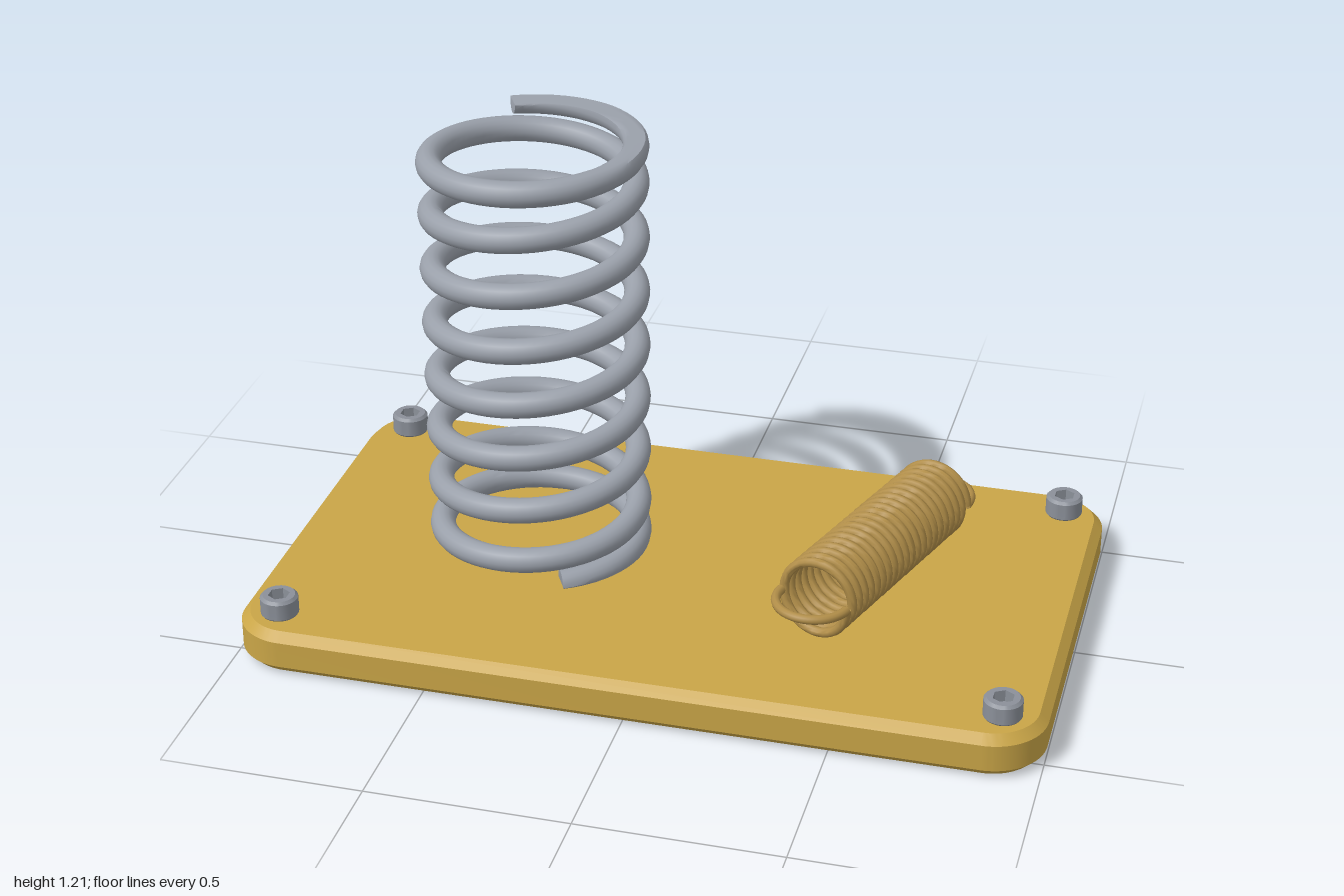
import * as THREE from 'three';
import { toCreasedNormals } from 'three/addons/utils/BufferGeometryUtils.js';

const mat = (name, color, side = THREE.FrontSide) => {
  const m = new THREE.MeshStandardMaterial({ color, side });
  m.name = name;
  return m;
};

function mesh(name, geometry, material, parent) {
  const m = new THREE.Mesh(geometry, material);
  m.name = name;
  parent.add(m);
  return m;
}

// Round wire swept along a helix about y; heightAt(turns) gives the rise,
// and yMin / yMax grind the ends flat.
function helixWire({ radius, wire, turns, phase, heightAt, perTurn, sides, yMin = -Infinity, yMax = Infinity }) {
  const n = Math.round(turns * perTurn);
  const pos = [], idx = [];
  const point = (t) => {
    const a = phase + t * Math.PI * 2;
    return new THREE.Vector3(radius * Math.cos(a), heightAt(t), -radius * Math.sin(a));
  };
  const push = (p) => pos.push(p.x, THREE.MathUtils.clamp(p.y, yMin, yMax), p.z);
  for (let i = 0; i <= n; i++) {
    const t = (i / n) * turns;
    const p = point(t);
    const e1 = new THREE.Vector3(p.x, 0, p.z).normalize();
    const tangent = point(t + 0.001).sub(point(t - 0.001)).normalize();
    const e2 = new THREE.Vector3().crossVectors(tangent, e1).normalize();
    for (let j = 0; j < sides; j++) {
      const a = (j / sides) * Math.PI * 2;
      push(p.clone().addScaledVector(e1, wire * Math.cos(a)).addScaledVector(e2, wire * Math.sin(a)));
    }
  }
  for (let i = 0; i < n; i++) {
    for (let j = 0; j < sides; j++) {
      const k = (j + 1) % sides;
      const a = i * sides + j, b = i * sides + k;
      idx.push(a, b, a + sides, b, b + sides, a + sides);
    }
  }
  // End caps
  const first = pos.length / 3, last = n * sides;
  push(point(0));
  push(point(turns));
  for (let j = 0; j < sides; j++) {
    const k = (j + 1) % sides;
    idx.push(first, k, j, first + 1, last + j, last + k);
  }
  const g = new THREE.BufferGeometry();
  g.setAttribute('position', new THREE.Float32BufferAttribute(pos, 3));
  g.setIndex(idx);
  return toCreasedNormals(g, 0.7);
}

function roundedRect(w, d, r) {
  const s = new THREE.Shape();
  const x = w / 2 - r, y = d / 2 - r;
  s.absarc(x, y, r, 0, Math.PI / 2);
  s.absarc(-x, y, r, Math.PI / 2, Math.PI);
  s.absarc(-x, -y, r, Math.PI, Math.PI * 1.5);
  s.absarc(x, -y, r, Math.PI * 1.5, Math.PI * 2);
  s.closePath();
  return s;
}

export function createModel() {
  const model = new THREE.Group();
  model.name = 'springDisplay';
  const brass = mat('brass plate', 0xc9a547);
  const steel = mat('spring steel', 0x9aa0aa);
  const bronze = mat('bronze wire', 0xb08d48);
  const boltSteel = mat('bolt steel', 0x8b9099, THREE.DoubleSide);
  const top = 0.112;

  // Base plate with rounded corners and chamfered edges
  const c = 0.022;
  const plate = new THREE.ExtrudeGeometry(roundedRect(2 - 2 * c, 1.18 - 2 * c, 0.115), {
    depth: top - 2 * c, bevelEnabled: true, bevelSize: c, bevelThickness: c, bevelSegments: 1, curveSegments: 12,
  });
  plate.rotateX(-Math.PI / 2).translate(0, c, 0);
  mesh('basePlate', toCreasedNormals(plate, 0.5), brass, model);

  // Upright compression spring: tighter end coils, ground flat at both ends
  const turns = 8.5, endPitch = 0.062, midPitch = 0.1465;
  const rise = (t) => {
    const u = THREE.MathUtils.clamp((t - 0.6) / 0.6, 0, 1);
    const blend = 0.3 * u * u + Math.max(0, t - 1.2);
    return endPitch * t + (midPitch - endPitch) * blend;
  };
  const middle = 0.661;
  const heightAt = (t) => (t < turns / 2
    ? middle - rise(turns / 2) + rise(t)
    : middle + rise(turns / 2) - rise(turns - t));
  const compression = mesh('compressionSpring', helixWire({
    radius: 0.25, wire: 0.032, turns, phase: -1.08, heightAt, perTurn: 64, sides: 16, yMin: top, yMax: 1.21,
  }), steel, model);
  compression.position.set(-0.385, 0, -0.04);

  // Extension spring lying on the plate, with a half-loop hook at each end
  const extension = new THREE.Group();
  extension.name = 'extensionSpring';
  extension.position.set(0.49, 0.218, -0.02);
  extension.rotation.y = -0.32;
  model.add(extension);
  const half = 0.303, R = 0.091, wire = 0.012, coils = 21;
  const coil = helixWire({
    radius: R, wire, turns: coils, phase: 0, heightAt: (t) => (t / coils - 0.5) * 2 * half, perTurn: 36, sides: 10,
  });
  mesh('coilBody', coil.rotateX(Math.PI / 2), bronze, extension);
  for (const s of [1, -1]) {
    const hook = new THREE.Group();
    hook.name = s > 0 ? 'frontHook' : 'backHook';
    hook.position.z = s * half;
    extension.add(hook);
    const loop = new THREE.TorusGeometry(R, wire, 10, 32, Math.PI);
    mesh('hookLoop', loop.rotateX(s * Math.PI / 2), bronze, hook);
    // Flat ends of the hook wire
    for (const x of [R, -R]) {
      const end = mesh('hookEnd', new THREE.CircleGeometry(wire, 10), bronze, hook);
      end.position.x = x;
      end.rotation.y = s > 0 ? Math.PI : 0;
    }
  }

  // Socket-head bolts at the four corners
  const head = 0.053, r = 0.047, ch = 0.007, socket = 0.027, depth = 0.03;
  const side = toCreasedNormals(new THREE.LatheGeometry([
    new THREE.Vector2(r - 0.003, 0), new THREE.Vector2(r, 0.004),
    new THREE.Vector2(r, head - ch), new THREE.Vector2(r - ch, head),
  ], 32), 0.5);
  const rim = new THREE.Shape().absarc(0, 0, r - ch, 0, Math.PI * 2);
  const hex = Array.from({ length: 6 }, (_, i) => new THREE.Vector2(
    socket * Math.sin(i * Math.PI / 3), socket * Math.cos(i * Math.PI / 3)));
  rim.holes.push(new THREE.Path(hex));
  const face = new THREE.ShapeGeometry(rim, 16).rotateX(-Math.PI / 2).translate(0, head, 0);
  const wall = toCreasedNormals(new THREE.CylinderGeometry(socket, socket, depth, 6, 1, true), 0.5)
    .translate(0, head - depth / 2, 0);
  const floor = new THREE.CircleGeometry(socket, 6, Math.PI / 2).rotateX(-Math.PI / 2).translate(0, head - depth, 0);
  for (const x of [-0.895, 0.895]) {
    for (const z of [-0.487, 0.487]) {
      const bolt = new THREE.Group();
      bolt.name = 'cornerBolt';
      bolt.position.set(x, top, z);
      model.add(bolt);
      mesh('boltHead', side, boltSteel, bolt);
      mesh('boltFace', face, boltSteel, bolt);
      mesh('socketWall', wall, boltSteel, bolt);
      mesh('socketFloor', floor, boltSteel, bolt);
    }
  }
  return model;
}
